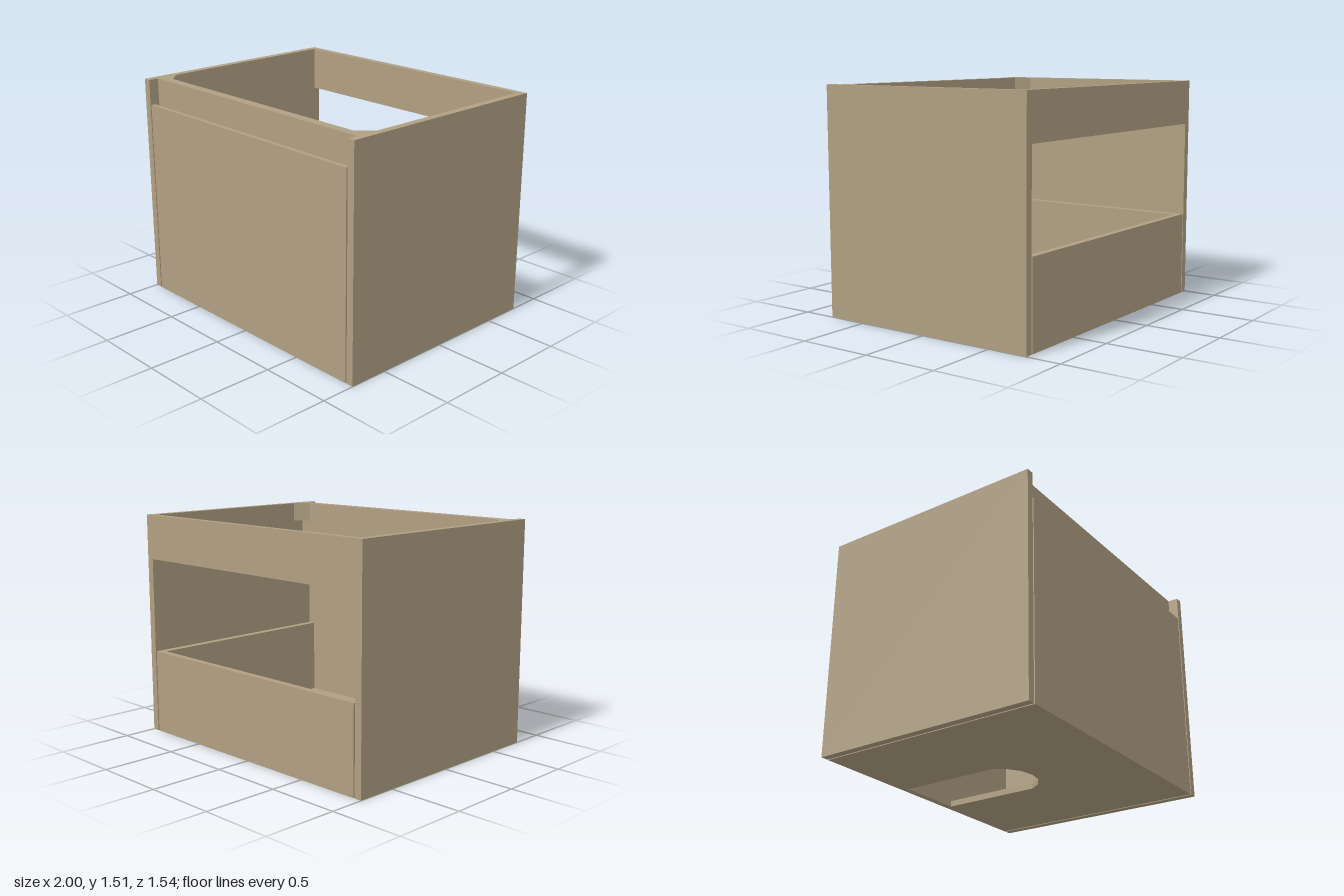
import * as THREE from 'three';

export function createModel() {
  const group = new THREE.Group();
  group.name = 'vanityCabinet';
  const wood = new THREE.MeshStandardMaterial({ color: 0xb09f82 });
  wood.name = 'beige wood';

  const add = (name, geometry) => {
    const mesh = new THREE.Mesh(geometry, wood);
    mesh.name = name;
    group.add(mesh);
    return mesh;
  };

  // Board given by its limits on each axis
  const board = (name, [x0, x1], [y0, y1], [z0, z1]) => {
    const g = new THREE.BoxGeometry(x1 - x0, y1 - y0, z1 - z0);
    g.translate((x0 + x1) / 2, (y0 + y1) / 2, (z0 + z1) / 2);
    return add(name, g);
  };

  // Board cut from a plan outline of [x, z] points
  const plan = (name, points, y0, y1) => {
    const shape = new THREE.Shape(points.map(([x, z]) => new THREE.Vector2(x, -z)));
    const g = new THREE.ExtrudeGeometry(shape, { depth: y1 - y0, bevelEnabled: false });
    g.rotateX(-Math.PI / 2).translate(0, y0, 0);
    return add(name, g);
  };

  const height = 1.51, back = -0.77, front = 0.77;

  for (const [side, s] of [['left', 1], ['right', -1]]) {
    const span = (a, b) => (s > 0 ? [a, b] : [-b, -a]);
    board(side + 'CabinetSide', span(0.95, 1), [0, height], [back, front]);
    board(side + 'DrawerSide', span(0.89, 0.94), [0, 0.57], [back, 0.7]);
    // Triangular brace behind the front rail
    plan(side + 'CornerBlock', [[s * 0.95, 0.55], [s * 0.95, 0.637], [s * 0.865, 0.637]], 1.38, height);
  }

  // Cabinet rails
  board('backRail', [-0.95, 0.95], [1.21, height], [back, -0.725]);
  board('frontRail', [-0.95, 0.95], [1.24, height], [0.637, 0.7]);

  // Drawer back and floor, with a rounded slot for the plumbing
  board('drawerBack', [-0.89, 0.89], [0, 0.57], [back, -0.725]);
  const slot = [[0.23, -0.725], [0.23, -0.04], [0.18, 0.04], [0.1, 0.095], [0, 0.115]];
  const mirrored = slot.slice(0, -1).reverse().map(([x, z]) => [-x, z]);
  plan('drawerFloor', [
    [-0.89, -0.725], [-0.89, 0.7], [0.89, 0.7], [0.89, -0.725], ...slot, ...mirrored,
  ], 0, 0.04);

  // Drawer front with a finger grip sloping down behind its top edge
  const profile = new THREE.Shape(
    [[0.7, 0], [front, 0], [front, 1.34], [0.74, 1.34], [0.7, 1.3]].map(([z, y]) => new THREE.Vector2(z, y)),
  );
  const frontPanel = new THREE.ExtrudeGeometry(profile, { depth: 1.88, bevelEnabled: false });
  frontPanel.translate(0, 0, -0.94).rotateY(-Math.PI / 2);
  add('drawerFront', frontPanel);

  return group;
}
